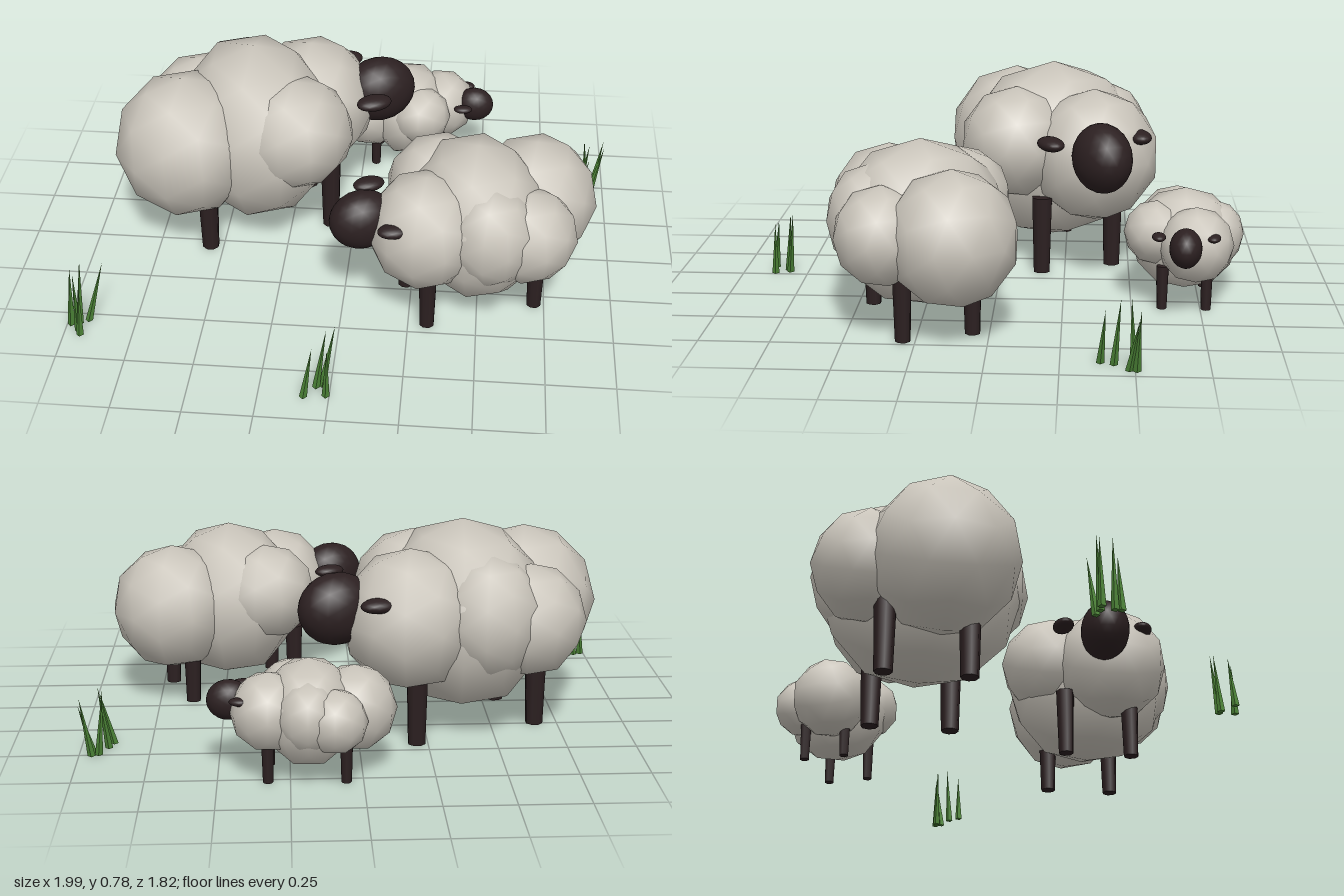
import * as THREE from 'three';
import { mergeVertices } from 'three/addons/utils/BufferGeometryUtils.js';

const material = (name, color, extra = {}) => {
  const m = new THREE.MeshStandardMaterial({ color, ...extra });
  m.name = name;
  return m;
};

// Smooth-shaded icosphere with unit radius
function ball(detail) {
  const g = new THREE.IcosahedronGeometry(1, detail);
  g.deleteAttribute('normal');
  g.deleteAttribute('uv');
  const merged = mergeVertices(g, 1e-4);
  merged.computeVertexNormals();
  return merged;
}

export function createModel() {
  const wool = material('wool', 0xcac5bb);
  const skin = material('dark skin', 0x2c2021);
  const grass = material('grass', 0x4b8236, { flatShading: true });

  const puffShape = ball(1);
  const headShape = ball(3);
  const legShape = new THREE.CylinderGeometry(0.041, 0.033, 0.3, 8);

  const add = (parent, name, geometry, mat, position, scale = [1, 1, 1]) => {
    const mesh = new THREE.Mesh(geometry, mat);
    mesh.name = name;
    mesh.position.set(...position);
    mesh.scale.set(...scale);
    parent.add(mesh);
    return mesh;
  };

  // Fleece puffs: name, centre, radii (the sheep faces local +x)
  const puffs = [
    ['middleFleece', [-0.01, 0.425, 0], [0.31, 0.355, 0.37]],
    ['rearFleece', [-0.3, 0.43, 0.05], [0.275, 0.285, 0.275]],
    ['frontFleece', [0.24, 0.45, -0.07], [0.25, 0.26, 0.255]],
    ['leftSideFleece', [0.09, 0.49, 0.195], [0.23, 0.22, 0.22]],
    ['rightSideFleece', [-0.01, 0.46, -0.21], [0.2, 0.23, 0.19]],
    ['rightHaunchFleece', [-0.175, 0.43, -0.21], [0.21, 0.21, 0.2]],
  ];

  function makeSheep(name, x, z, turn, size) {
    const sheep = new THREE.Group();
    sheep.name = name;
    for (const [part, position, radii] of puffs) add(sheep, part, puffShape, wool, position, radii);
    add(sheep, 'head', headShape, skin, [0.495, 0.5, 0.005], [0.145, 0.132, 0.108]);
    for (const side of [-1, 1]) {
      const ear = add(sheep, 'ear', headShape, skin, [0.415, 0.55, side * 0.18], [0.07, 0.027, 0.046]);
      ear.rotation.y = side * 0.08;
      for (const end of [-1, 1]) {
        add(sheep, end > 0 ? 'frontLeg' : 'backLeg', legShape, skin, [end * 0.248, 0.15, side * 0.148]);
      }
    }
    sheep.position.set(x, 0, z);
    sheep.rotation.y = turn;
    sheep.scale.setScalar(size);
    return sheep;
  }

  // Grass blade: thin cone whose tip leans by (dx, dz)
  function makeBlade([x, z, h, dx, dz]) {
    const g = new THREE.ConeGeometry(0.014, h, 4);
    g.translate(0, h / 2, 0);
    const p = g.attributes.position;
    for (let i = 0; i < p.count; i++) {
      const t = p.getY(i) / h;
      p.setX(i, p.getX(i) + dx * t);
      p.setZ(i, p.getZ(i) + dz * t);
    }
    const blade = new THREE.Mesh(g, grass);
    blade.name = 'grassBlade';
    blade.position.set(x, 0, z);
    return blade;
  }

  const tufts = [
    [[-0.925, 0.535, 0.24, 0.06, -0.035], [-0.955, 0.555, 0.28, 0.02, -0.01],
      [-0.985, 0.565, 0.26, 0.015, -0.005], [-0.95, 0.6, 0.26, 0, 0], [-0.94, 0.62, 0.2, 0.01, -0.01]],
    [[-0.03, 0.82, 0.25, 0.045, -0.025], [-0.05, 0.83, 0.24, 0.035, -0.02],
      [-0.09, 0.885, 0.2, 0.03, -0.02], [-0.012, 0.875, 0.2, 0.005, -0.005]],
    [[0.93, -0.495, 0.24, -0.02, 0.01], [0.955, -0.505, 0.22, 0.035, -0.01],
      [0.9, -0.43, 0.24, 0.03, -0.02], [0.885, -0.385, 0.2, 0.045, -0.015], [0.95, -0.48, 0.19, 0.045, -0.03]],
  ];

  const model = new THREE.Group();
  model.name = 'flock';
  model.add(
    makeSheep('largeSheep', -0.38, -0.2, 0.4, 1),
    makeSheep('mediumSheep', 0.47, 0.2525, Math.PI + 0.37, 0.85),
    makeSheep('lamb', 0.19, -0.695, -0.03, 0.54),
  );
  for (const blades of tufts) {
    const tuft = new THREE.Group();
    tuft.name = 'grassTuft';
    tuft.add(...blades.map(makeBlade));
    model.add(tuft);
  }
  return model;
}
